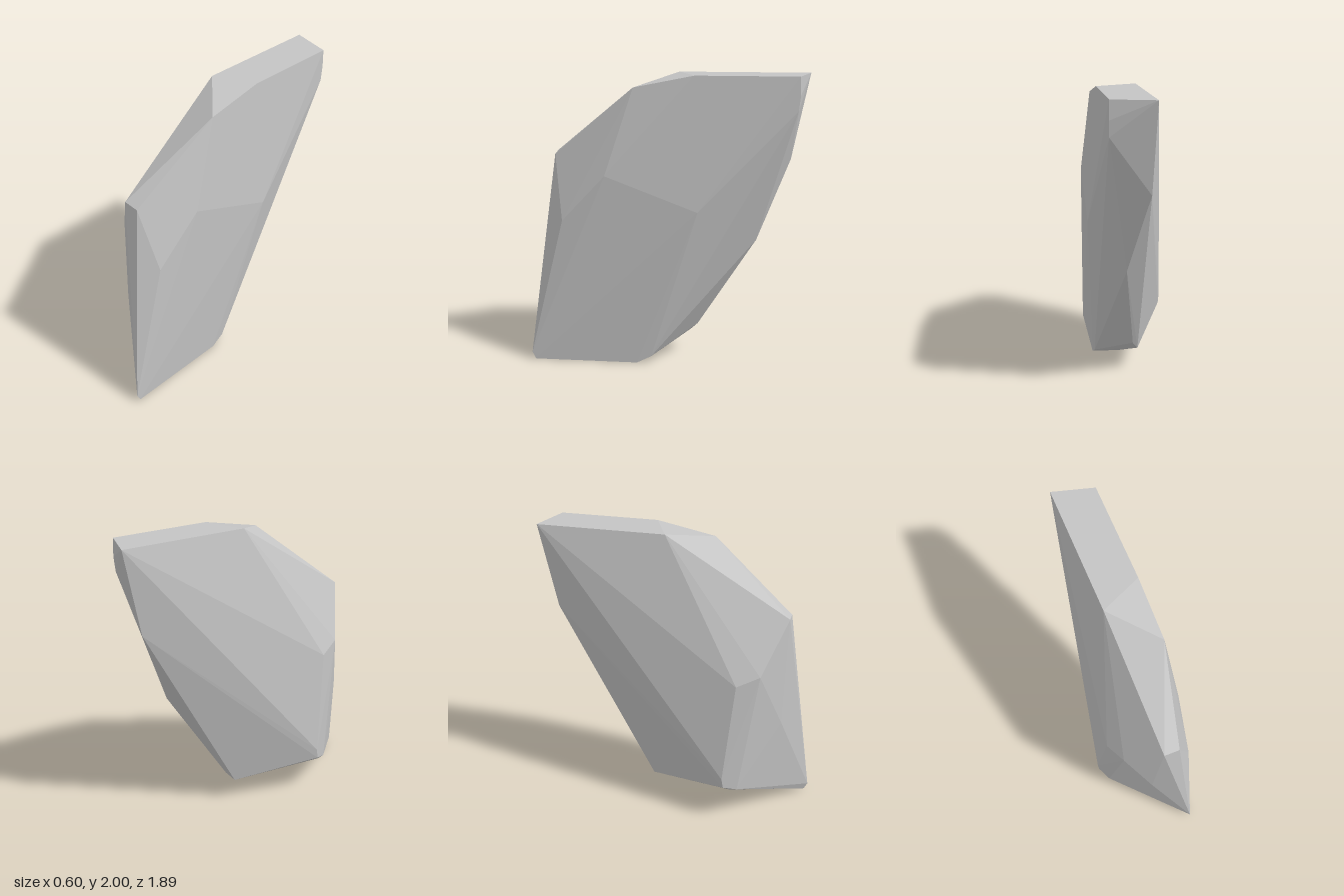
import * as THREE from 'three';
import { ConvexGeometry } from 'three/addons/geometries/ConvexGeometry.js';

export function createModel() {
  const group = new THREE.Group();
  group.name = 'rock';
  const stone = new THREE.MeshStandardMaterial({ color: 0xc4c4c4 });
  stone.name = 'light stone grey';

  // Corners of the faceted boulder, wrapped by a convex skin
  const corners = [
    // flat crown
    [-0.045, 2, -0.945], [0.23, 2, -0.865], [0.23, 2, -0.19], [-0.045, 2, -0.07],
    // front shoulder and brow
    [0.23, 1.92, 0.21], [0.015, 1.465, 0.76], [0.12, 1.455, 0.76],
    // left flank
    [0.297, 1.11, -0.22], [0.28, 1.34, 0.4], [0.245, 1.02, 0.7],
    // right flank
    [-0.19, 1.12, 0.61], [-0.25, 1.06, 0.46], [-0.03, 0.7, 0.75],
    [-0.3, 0.35, 0.39], [-0.295, 0.28, 0.4], [-0.25, 0.24, 0.44], [-0.25, 0.25, 0.49],
    // slanted foot
    [0.23, 0.05, 0.945], [0.23, 0, 0.92], [0.23, 0, 0.2], [0.225, 0.05, 0.1],
    [0.07, 0.085, -0.01], [-0.05, 0.16, -0.16], [-0.01, 0.22, -0.21],
    // back ridge
    [0.09, 0.88, -0.61], [-0.03, 1.42, -0.83], [0.23, 1.78, -0.86], [0.23, 1.88, -0.87],
  ].map((p) => new THREE.Vector3(...p));

  const boulder = new THREE.Mesh(new ConvexGeometry(corners), stone);
  boulder.name = 'boulder';
  group.add(boulder);
  return group;
}
